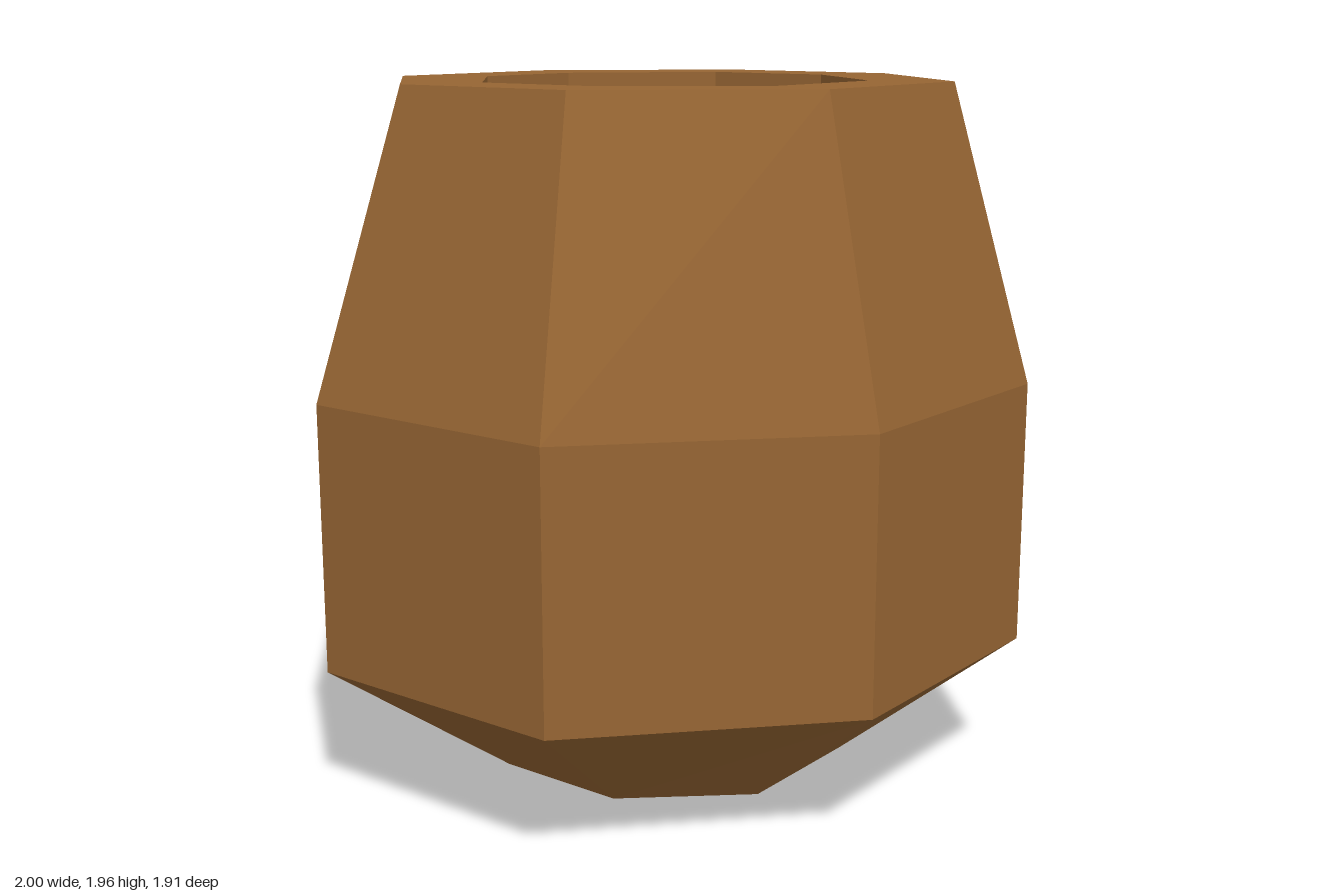
import * as THREE from 'three';

// Eight-sided ring, symmetric in x: half widths of front/side/back edges
function ring(y, apothem, front, sideFront, sideBack, back, depth = apothem) {
  const half = [[front, depth], [apothem, sideFront], [apothem, -sideBack], [back, -depth]];
  const mirrored = half.map(([x, z]) => [-x, z]).reverse();
  return [...half, ...mirrored].map(([x, z]) => new THREE.Vector3(x, y, z));
}

// Joins successive rings with flat quads
function loft(rings) {
  const pos = [];
  for (let r = 0; r < rings.length - 1; r++) {
    const lo = rings[r], hi = rings[r + 1];
    for (let i = 0; i < lo.length; i++) {
      const j = (i + 1) % lo.length;
      for (const p of [lo[i], lo[j], hi[j], lo[i], hi[j], hi[i]]) pos.push(p.x, p.y, p.z);
    }
  }
  const geo = new THREE.BufferGeometry();
  geo.setAttribute('position', new THREE.Float32BufferAttribute(pos, 3));
  geo.computeVertexNormals();
  return geo;
}

export function createModel() {
  const group = new THREE.Group();
  group.name = 'pot';
  const clay = new THREE.MeshStandardMaterial({ color: 0x966533, flatShading: true, side: THREE.DoubleSide });
  const dark = new THREE.MeshStandardMaterial({ color: 0x5a2513, flatShading: true, side: THREE.DoubleSide });

  // Thin outer wall, open underneath
  const belly = [0.39, 0.39, 0.39, 0.39, 0.955];
  const top = ring(1.955, 0.74, 0.31, 0.26, 0.31, 0.31);
  const wall = new THREE.Mesh(loft([
    ring(0, 0.48, 0.21, 0.18, 0.21, 0.19),
    ring(0.395, 1, ...belly),
    ring(1.135, 1, ...belly),
    top,
  ]), clay);
  wall.name = 'potWall';

  // Flat rim with a short neck dropping inside
  const rim = new THREE.Mesh(loft([
    top,
    ring(1.955, 0.525, 0.22, 0.17, 0.22, 0.18),
    ring(1.785, 0.525, 0.22, 0.17, 0.22, 0.18),
  ]), clay);
  rim.name = 'rimAndNeck';

  // Dark surface of the contents
  const outline = ring(0, 0.99, 0.385, 0.385, 0.385, 0.385, 0.945);
  const surface = new THREE.ShapeGeometry(new THREE.Shape(outline.map(p => new THREE.Vector2(p.x, -p.z))));
  surface.rotateX(-Math.PI / 2);
  const contents = new THREE.Mesh(surface, dark);
  contents.name = 'contents';
  contents.position.y = 1.05;

  group.add(wall, rim, contents);
  return group;
}
